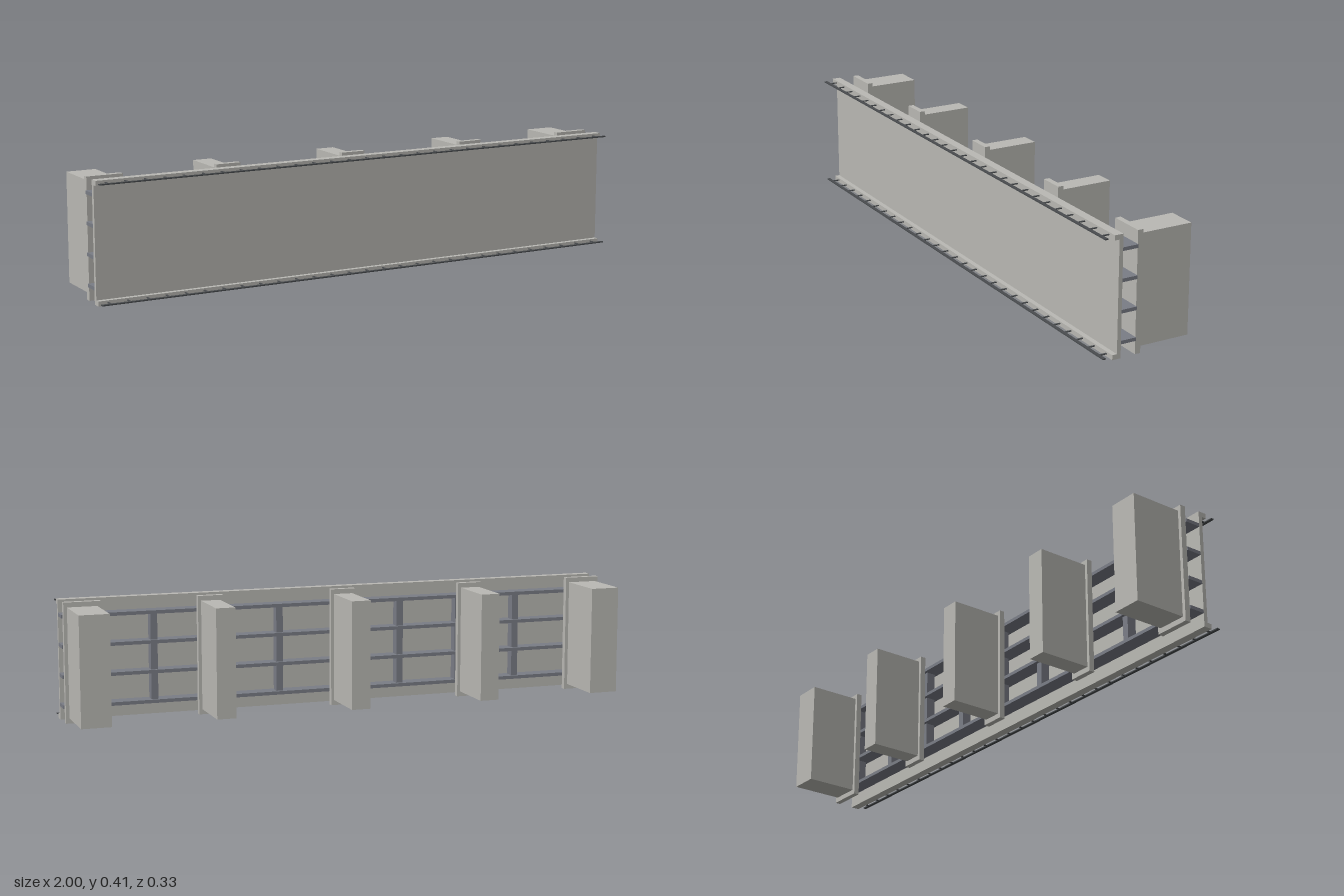
import * as THREE from 'three';

const mat = (name, color) => {
  const m = new THREE.MeshStandardMaterial({ color });
  m.name = name;
  return m;
};

export function createModel() {
  const concrete = mat('concrete grey', 0xbab9b4);
  const steel = mat('steel blue grey', 0x7a7d86);
  const darkSteel = mat('dark steel', 0x4a4d50);
  const model = new THREE.Group();
  model.name = 'wallSection';

  // Box given by its lower and upper limits on each axis
  const box = (name, material, [x0, x1], [y0, y1], [z0, z1]) => {
    const mesh = new THREE.Mesh(new THREE.BoxGeometry(x1 - x0, y1 - y0, z1 - z0), material);
    mesh.position.set((x0 + x1) / 2, (y0 + y1) / 2, (z0 + z1) / 2);
    mesh.name = name;
    model.add(mesh);
  };

  // Front panel: channel section with a lip along top and bottom
  const section = new THREE.Shape();
  [[0.099, 0], [0.13, 0], [0.13, 0.017], [0.113, 0.017], [0.113, 0.398],
    [0.13, 0.398], [0.13, 0.415], [0.099, 0.415]]
    .forEach(([z, y], i) => (i ? section.lineTo(-z, y) : section.moveTo(-z, y)));
  const panelGeo = new THREE.ExtrudeGeometry(section, { depth: 2, bevelEnabled: false });
  panelGeo.rotateY(Math.PI / 2).translate(-1, 0, 0);
  const panel = new THREE.Mesh(panelGeo, concrete);
  panel.name = 'frontPanel';
  model.add(panel);

  // Horizontal beams behind the panel
  const beamY = [0.047, 0.151, 0.255, 0.358];
  for (const y of beamY) box('beam', steel, [-1, 1], [y, y + 0.012], [0.043, 0.099]);

  // Upright stiffeners between the beams
  for (let i = -4; i <= 4; i++) {
    const x = i * 0.226;
    for (let j = 0; j < 3; j++) {
      box('stiffener', steel, [x - 0.012, x + 0.012], [beamY[j] + 0.012, beamY[j + 1]], [0.054, 0.088]);
    }
  }

  // Rear blocks, each with a taller mounting plate; the end ones are wider
  for (const [x, w, plateW] of [[-0.932, 0.104, 0.128], [-0.484, 0.068, 0.09], [0, 0.068, 0.09],
    [0.484, 0.068, 0.09], [0.932, 0.104, 0.128]]) {
    box('mountingPlate', concrete, [x - plateW / 2, x + plateW / 2], [0, 0.415], [0.023, 0.043]);
    box('rearBlock', concrete, [x - w / 2, x + w / 2], [0.018, 0.398], [-0.165, 0.023]);
  }

  // Thin rails carried on short pegs in front of both lips
  for (const y of [0.01, 0.407]) {
    box('rail', darkSteel, [-1, 1], [y - 0.002, y + 0.002], [0.154, 0.165]);
    for (let i = 0; i < 29; i++) {
      const x = -0.966 + i * 0.069;
      box('railPeg', darkSteel, [x - 0.003, x + 0.003], [y - 0.0015, y + 0.0015], [0.13, 0.155]);
    }
  }
  return model;
}
